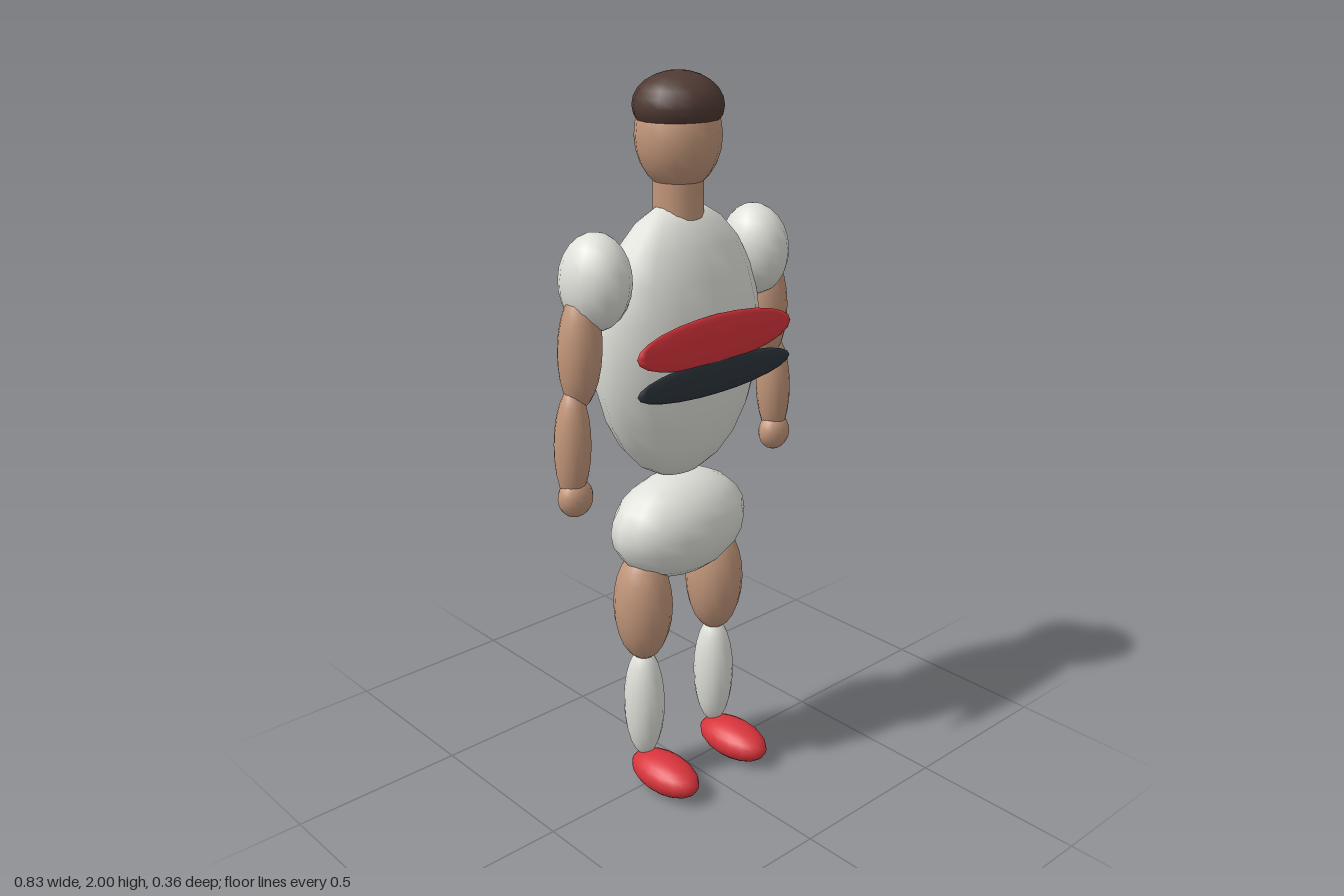
import * as THREE from 'three';

const mat = (name, color) => {
  const m = new THREE.MeshStandardMaterial({ color });
  m.name = name;
  return m;
};

export function createModel() {
  const kit = mat('off white', 0xe0e0da);
  const skin = mat('skin', 0xc2967a);
  const brown = mat('dark brown', 0x503a33);
  const red = mat('red', 0xd8343c);
  const navy = mat('dark slate', 0x2c343b);

  const Z = -0.033; // depth of the body axis
  const figure = new THREE.Group();
  figure.name = 'figure';
  const ball = new THREE.SphereGeometry(1, 16, 12);

  // Ellipsoid with given centre, radii and sideways tilt
  function blob(name, material, center, radii, tilt = 0) {
    const m = new THREE.Mesh(ball, material);
    m.name = name;
    m.position.set(...center);
    m.scale.set(...radii);
    m.rotation.z = tilt;
    figure.add(m);
  }

  // Head, hair and neck
  blob('head', skin, [0, 1.84, Z], [0.113, 0.14, 0.113]);
  blob('hair', brown, [0, 1.915, Z], [0.118, 0.085, 0.117]);
  const neck = new THREE.Mesh(new THREE.CylinderGeometry(0.065, 0.067, 0.16, 16), skin);
  neck.name = 'neck';
  neck.position.set(0, 1.69, Z);
  figure.add(neck);

  // Torso, chest bands and pelvis
  blob('torso', kit, [0, 1.3, Z], [0.27, 0.377, 0.147]);
  blob('chestBand', red, [0, 1.337, 0.116], [0.272, 0.068, 0.013]);
  blob('lowerChestBand', navy, [0, 1.24, 0.116], [0.272, 0.05, 0.012]);
  blob('pelvis', kit, [0, 0.777, Z], [0.22, 0.15, 0.14]);

  // Mirrored limbs: side +1 is the model's left
  for (const [label, s] of [['left', 1], ['right', -1]]) {
    blob(label + 'Shoulder', kit, [s * 0.279, 1.508, Z], [0.088, 0.125, 0.102], s * 0.06);
    blob(label + 'UpperArm', skin, [s * 0.333, 1.343, Z], [0.057, 0.155, 0.058], s * 0.06);
    blob(label + 'Forearm', skin, [s * 0.365, 1.095, Z], [0.048, 0.155, 0.049], s * 0.04);
    blob(label + 'Hand', skin, [s * 0.366, 0.955, -0.026], [0.05, 0.053, 0.04]);
    blob(label + 'Thigh', skin, [s * 0.136, 0.562, Z], [0.082, 0.168, 0.085]);
    blob(label + 'Shin', kit, [s * 0.136, 0.25, Z], [0.057, 0.175, 0.061]);
    blob(label + 'Shoe', red, [s * 0.136, 0.053, 0.056], [0.069, 0.053, 0.125]);
  }
  return figure;
}
